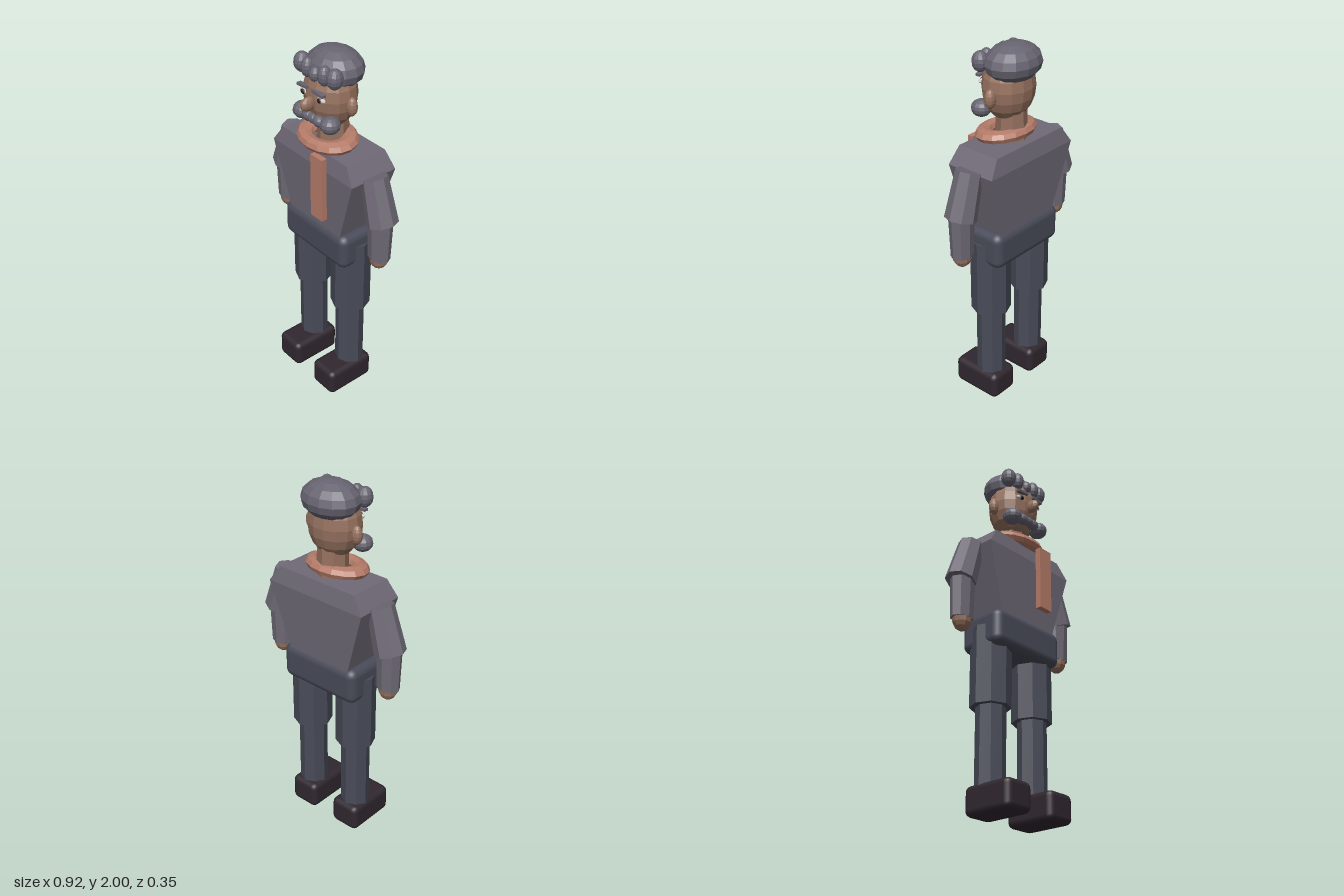
import * as THREE from 'three';
import { RoundedBoxGeometry } from 'three/addons/geometries/RoundedBoxGeometry.js';

const paint = (name, color) => {
  const m = new THREE.MeshStandardMaterial({ color });
  m.name = name;
  return m;
};

// faceted look: split the corners and give each face its own normal
function facet(geo) {
  const g = geo.index ? geo.toNonIndexed() : geo;
  g.computeVertexNormals();
  return g;
}

// closed solid through rectangular rings [y, halfWidth, zBack, zFront], bottom to top
function rectLoft(rings) {
  const pos = [], idx = [];
  for (const [y, w, b, f] of rings) pos.push(-w, y, f, w, y, f, w, y, b, -w, y, b);
  for (let r = 0; r < rings.length - 1; r++) {
    for (let i = 0; i < 4; i++) {
      const a = r * 4 + i, b = r * 4 + (i + 1) % 4;
      idx.push(a, b, b + 4, a, b + 4, a + 4);
    }
  }
  const t = (rings.length - 1) * 4;
  idx.push(0, 2, 1, 0, 3, 2, t, t + 1, t + 2, t, t + 2, t + 3);
  const g = new THREE.BufferGeometry();
  g.setAttribute('position', new THREE.Float32BufferAttribute(pos, 3));
  g.setIndex(idx);
  return facet(g);
}

export function createModel() {
  const model = new THREE.Group();
  model.name = 'man';
  const shirt = paint('shirt grey', 0x6f6a76);
  const hair = paint('hair grey', 0x686572);
  const skin = paint('skin brown', 0x96725f);
  const scarf = paint('scarf terracotta', 0xb67c69);
  const trousers = paint('trousers slate', 0x484b58);
  const leather = paint('shoe dark', 0x30272f);
  const white = paint('eye white', 0xcfc4bc);
  const dark = paint('pupil dark', 0x241c1e);

  const add = (name, geo, mat, x = 0, y = 0, z = 0) => {
    const mesh = new THREE.Mesh(geo, mat);
    mesh.name = name;
    mesh.position.set(x, y, z);
    model.add(mesh);
    return mesh;
  };
  const ball = (name, mat, [x, y, z], [rx, ry, rz], seg = 12, rows = 8) =>
    add(name, facet(new THREE.SphereGeometry(1, seg, rows).scale(rx, ry, rz)), mat, x, y, z);
  const tube = (name, mat, rTop, rBottom, h, x, y, z) =>
    add(name, facet(new THREE.CylinderGeometry(rTop, rBottom, h, 8)), mat, x, y, z);

  // torso and hips
  add('torso', rectLoft([
    [1.02, 0.19, -0.14, 0.09],
    [1.415, 0.308, -0.172, 0.112],
    [1.505, 0.248, -0.154, 0.094],
  ]), shirt);
  add('hips', new RoundedBoxGeometry(0.49, 0.2, 0.265, 3, 0.045), trousers, 0, 0.96, -0.024);

  // neck, scarf and its hanging end
  tube('neck', skin, 0.078, 0.084, 0.2, 0, 1.56, -0.03);
  const ring = new THREE.TorusGeometry(0.13, 0.052, 8, 16).rotateX(Math.PI / 2).scale(1, 0.62, 0.76);
  add('scarfRing', facet(ring), scarf, 0, 1.535, 0.005).rotation.x = 0.1;
  add('scarfEnd', new THREE.BoxGeometry(0.088, 0.36, 0.032), scarf, 0.083, 1.32, 0.133);

  // head, hair and nose
  ball('head', skin, [0, 1.775, -0.013], [0.147, 0.18, 0.127], 14, 10);
  ball('hairCap', hair, [0, 1.902, -0.042], [0.162, 0.1, 0.132], 14, 8);
  ball('nose', skin, [0, 1.752, 0.126], [0.025, 0.038, 0.047], 10, 8);
  ball('middleCurl', hair, [0, 1.895, 0.078], [0.032, 0.04, 0.036]);
  ball('middleMoustache', hair, [0, 1.665, 0.098], [0.035, 0.026, 0.025]);

  // paired parts
  for (const [side, s] of [['left', 1], ['right', -1]]) {
    // face
    ball(side + 'Ear', skin, [s * 0.147, 1.747, -0.022], [0.032, 0.05, 0.028]);
    ball(side + 'Eye', white, [s * 0.064, 1.788, 0.098], [0.03, 0.014, 0.014]);
    ball(side + 'Pupil', dark, [s * 0.062, 1.788, 0.109], [0.014, 0.013, 0.008]);
    const brow = add(side + 'Brow', new THREE.BoxGeometry(0.075, 0.013, 0.025), hair, s * 0.058, 1.824, 0.108);
    brow.rotation.z = -s * 0.08;
    ball(side + 'OuterCurl', hair, [s * 0.122, 1.91, 0.064], [0.042, 0.053, 0.043]);
    ball(side + 'InnerCurl', hair, [s * 0.062, 1.908, 0.076], [0.034, 0.052, 0.037]);
    ball(side + 'Whisker', hair, [s * 0.104, 1.662, 0.076], [0.052, 0.045, 0.053]);
    ball(side + 'Moustache', hair, [s * 0.04, 1.664, 0.094], [0.04, 0.03, 0.03]);

    // arm
    const upper = tube(side + 'UpperArm', shirt, 0.07, 0.083, 0.25, s * 0.346, 1.308, -0.03);
    upper.rotation.z = s * 0.29;
    const fore = tube(side + 'Forearm', shirt, 0.072, 0.064, 0.22, s * 0.371, 1.085, -0.025);
    fore.scale.z = 0.82;
    ball(side + 'Hand', skin, [s * 0.37, 0.975, -0.025], [0.053, 0.065, 0.05], 10, 8);

    // leg
    tube(side + 'Thigh', trousers, 0.107, 0.107, 0.425, s * 0.156, 0.768, -0.024);
    tube(side + 'Shin', trousers, 0.078, 0.078, 0.43, s * 0.155, 0.355, -0.022);
    add(side + 'Shoe', new RoundedBoxGeometry(0.175, 0.155, 0.295, 2, 0.032), leather, s * 0.152, 0.0775, 0.028);
  }
  return model;
}
